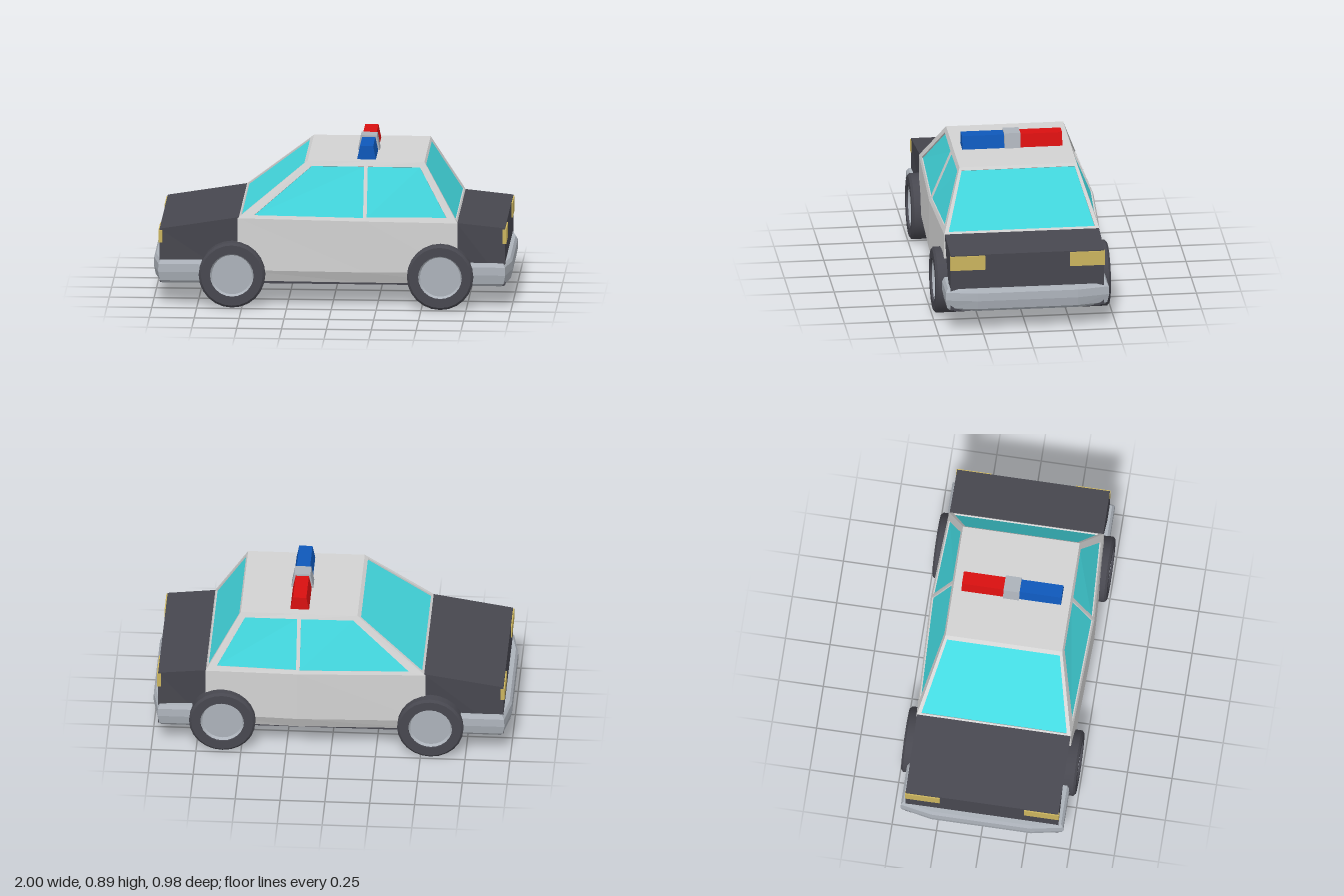
import * as THREE from 'three';
import { toCreasedNormals } from 'three/addons/utils/BufferGeometryUtils.js';

const paint = (name, color) => {
  const m = new THREE.MeshStandardMaterial({ color });
  m.name = name;
  return m;
};
const V = (x, y, z) => new THREE.Vector3(x, y, z);

// Flat-shaded geometry from a list of polygons (each fanned into triangles)
function facets(polygons) {
  const points = [];
  for (const p of polygons)
    for (let i = 1; i < p.length - 1; i++) points.push(p[0], p[i], p[i + 1]);
  const g = new THREE.BufferGeometry().setFromPoints(points);
  g.computeVertexNormals();
  return g;
}

// Closed solid through matching rings, turned so that its faces point outward
function loft(rings) {
  const n = rings[0].length;
  const polys = [[...rings[0]].reverse(), rings[rings.length - 1]];
  for (let r = 0; r < rings.length - 1; r++)
    for (let i = 0; i < n; i++) {
      const j = (i + 1) % n;
      polys.push([rings[r][i], rings[r][j], rings[r + 1][j], rings[r + 1][i]]);
    }
  let volume = 0;
  for (const p of polys)
    for (let i = 1; i < p.length - 1; i++)
      volume += p[0].dot(p[i].clone().cross(p[i + 1]));
  return facets(volume < 0 ? polys.map(p => [...p].reverse()) : polys);
}

// Ring across the car at x, mirrored from [y, z] points listed bottom to top
function section(x, half) {
  return [...half.map(([y, z]) => V(x, y, z)),
    ...[...half].reverse().map(([y, z]) => V(x, y, -z))];
}

export function createModel() {
  const car = new THREE.Group();
  car.name = 'patrolCar';
  const white = paint('white', 0xd2d2d2);
  const dark = paint('charcoal', 0x47474f);
  const glass = paint('glass', 0x43d8df);
  const steel = paint('steel', 0xacb2ba);
  const yellow = paint('lampYellow', 0xcbb45e);
  const red = paint('red', 0xd81010);
  const blue = paint('blue', 0x0f58ba);

  const add = (name, geometry, material, parent = car) => {
    const mesh = new THREE.Mesh(geometry, material);
    mesh.name = name;
    parent.add(mesh);
    return mesh;
  };

  // Door section, widest at the centre pillar
  add('doorSection', loft([
    section(-0.525, [[0.145, 0.41], [0.21, 0.437], [0.505, 0.435]]),
    section(0.185, [[0.145, 0.43], [0.21, 0.46], [0.5, 0.46]]),
    section(0.7, [[0.145, 0.41], [0.21, 0.437], [0.49, 0.435]]),
  ]), white);

  // Hood, trunk and floor
  add('hood', loft([
    section(-0.96, [[0.14, 0.43], [0.44, 0.43]]),
    section(-0.515, [[0.14, 0.41], [0.3, 0.432], [0.511, 0.432]].filter((p, i) => i !== 1)),
  ]), dark);
  add('trunk', loft([
    section(0.965, [[0.14, 0.43], [0.464, 0.43]]),
    section(0.695, [[0.14, 0.41], [0.492, 0.432]]),
  ]), dark);
  add('floor', new THREE.BoxGeometry(1.92, 0.012, 0.82), dark).position.y = 0.137;

  // Cabin panel: a frame around a slightly recessed pane, corners from bottom left
  function panel(name, corners, inset) {
    const [a, b, c, d] = corners;
    let outer = corners;
    let inner = inset.map(([u, v]) =>
      a.clone().lerp(b, u).lerp(d.clone().lerp(c, u), v));
    const normal = b.clone().sub(a).cross(d.clone().sub(a)).normalize();
    if (normal.dot(a.clone().sub(V(0.1, 0.5, 0))) < 0) {
      outer = [...outer].reverse();
      inner.reverse();
      normal.negate();
    }
    const pane = inner.map(p => p.clone().addScaledVector(normal, -0.008));
    const frame = [];
    for (let i = 0; i < 4; i++) {
      const j = (i + 1) % 4;
      frame.push([outer[i], outer[j], inner[j], inner[i]]);
      frame.push([inner[i], inner[j], pane[j], pane[i]]);
    }
    add(name + 'Frame', facets(frame), white);
    add(name + 'Glass', facets([pane]), glass);
  }

  const roofY = 0.815, roofZ = 0.328;
  for (const s of [1, -1]) {
    const side = s > 0 ? 'left' : 'right';
    const pillarBase = V(0.185, 0.5, 0.46 * s);
    const pillarTop = V(0.185, roofY, roofZ * s);
    panel(side + 'LongWindow',
      [V(-0.525, 0.505, 0.435 * s), pillarBase, pillarTop, V(-0.14, roofY, roofZ * s)],
      [[0.1, 0.06], [0.985, 0.06], [0.97, 0.91], [0.16, 0.91]]);
    panel(side + 'ShortWindow',
      [pillarBase, V(0.7, 0.49, 0.435 * s), V(0.51, roofY, roofZ * s), pillarTop],
      [[0.02, 0.07], [0.91, 0.09], [0.88, 0.91], [0.03, 0.91]]);
  }
  const wide = [[0.025, 0.04], [0.975, 0.04], [0.975, 0.95], [0.025, 0.95]];
  panel('windscreen', [V(-0.525, 0.505, -0.435), V(-0.525, 0.505, 0.435),
    V(-0.14, roofY, roofZ), V(-0.14, roofY, -roofZ)], wide);
  panel('backWindow', [V(0.7, 0.49, -0.435), V(0.7, 0.49, 0.435),
    V(0.51, roofY, roofZ), V(0.51, roofY, -roofZ)], wide);
  add('roof', facets([[V(-0.14, roofY, roofZ), V(0.51, roofY, roofZ),
    V(0.51, roofY, -roofZ), V(-0.14, roofY, -roofZ)]]), white);

  // Bumpers wrapping both ends, with lamps above
  for (const s of [1, -1]) {
    const end = s > 0 ? 'trunk' : 'hood';
    const levels = [[0.135, 0.022], [0.15, 0.01], [0.2, 0], [0.245, 0.002], [0.265, 0.014]];
    add(end + 'Bumper', loft(levels.map(([y, d]) => {
      const h = 0.458 - d;
      return [[0.72, h], [0.967 - d, h], [1 - d, 0.28],
        [1 - d, -0.28], [0.967 - d, -h], [0.72, -h]].map(([x, z]) => V(x * s, y, z));
    })), steel);
    for (const t of [1, -1]) {
      const lamp = add(end + 'Lamp', new THREE.BoxGeometry(0.022, s > 0 ? 0.082 : 0.07, 0.196), yellow);
      lamp.position.set(s > 0 ? 0.961 : -0.956, s > 0 ? 0.417 : 0.396, 0.335 * t);
    }
  }

  // Wheels: ring tyre with chamfered shoulders and a dished hub
  const spin = pts => toCreasedNormals(new THREE.LatheGeometry(
    pts.map(([r, y]) => new THREE.Vector2(r, y)), 24).rotateX(Math.PI / 2), 0.5);
  const tyre = spin([[0.122, -0.092], [0.172, -0.092], [0.185, -0.08],
    [0.185, 0.08], [0.172, 0.092], [0.122, 0.092], [0.122, -0.092]]);
  const hub = spin([[0, -0.066], [0.112, -0.066], [0.124, -0.084],
    [0.124, 0.084], [0.112, 0.066], [0, 0.066]]);
  for (const x of [-0.555, 0.605])
    for (const s of [1, -1]) {
      const wheel = new THREE.Group();
      wheel.name = 'wheel';
      add('tyre', tyre, dark, wheel);
      add('hub', hub, steel, wheel);
      wheel.position.set(x, 0.19, 0.398 * s);
      car.add(wheel);
    }

  // Roof light bar: tapered lamps either side of a clamp
  const bar = (name, z0, z1, bottom, top, y, material) =>
    add(name, loft([z0, z1].map(z => [V(0.185 - bottom, 0.812, z), V(0.185 + bottom, 0.812, z),
      V(0.185 + top, y, z), V(0.185 - top, y, z)])), material);
  bar('redLight', -0.28, -0.04, 0.053, 0.037, 0.89, red);
  bar('blueLight', 0.04, 0.28, 0.053, 0.037, 0.89, blue);
  bar('lightClamp', -0.045, 0.045, 0.062, 0.045, 0.899, steel);

  return car;
}
